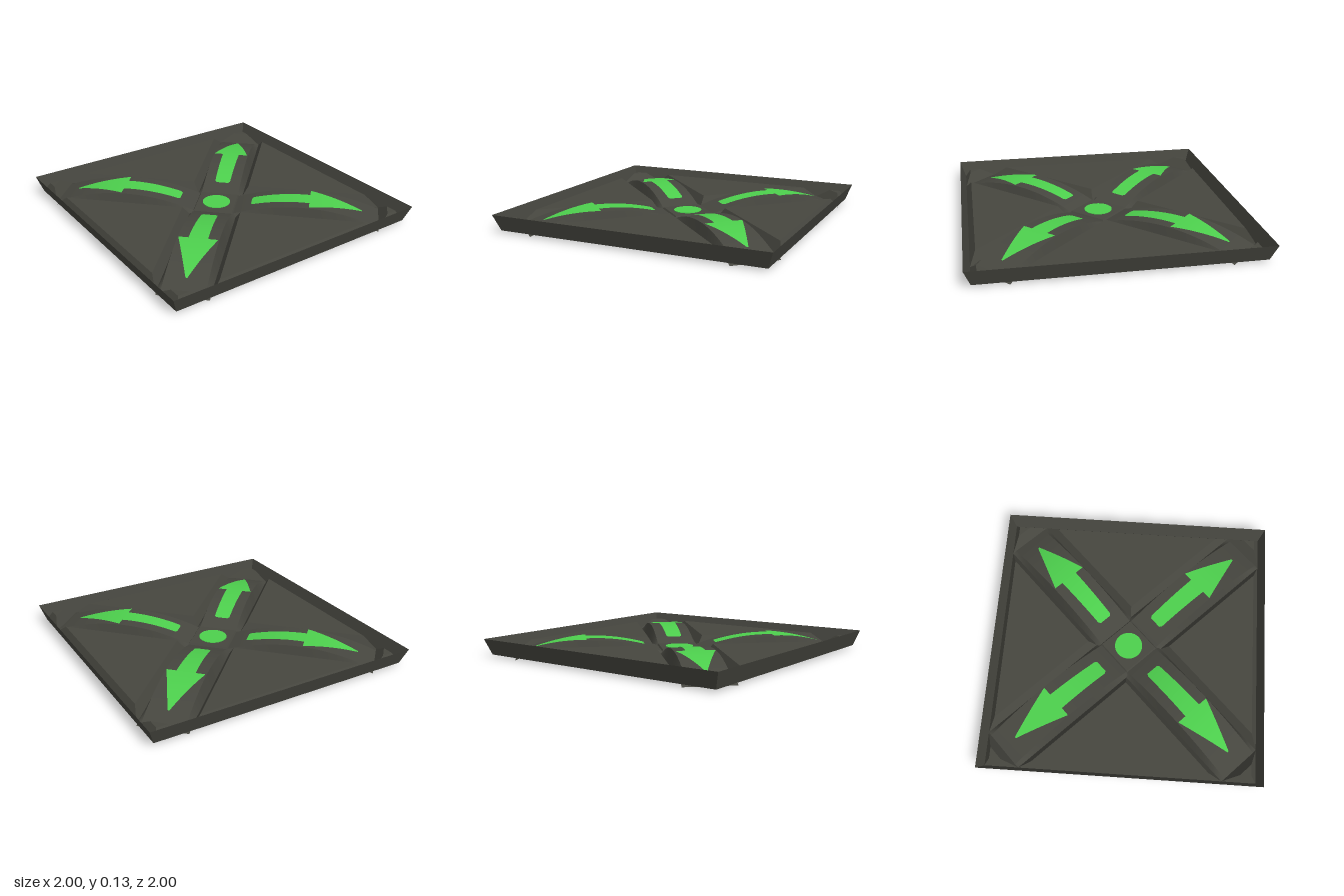
import * as THREE from 'three';

const charcoal = new THREE.MeshStandardMaterial({ color: 0x46463f, side: THREE.DoubleSide });
charcoal.name = 'charcoal';
const green = new THREE.MeshStandardMaterial({ color: 0x4dd04d, side: THREE.DoubleSide });
green.name = 'signalGreen';

function mesh(name, geometry, material) {
  const m = new THREE.Mesh(geometry, material);
  m.name = name;
  return m;
}

// Strip of quads between two polylines of [x, y, z] points
function sheet(a, b, smooth = false) {
  const index = [];
  for (let i = 0; i < a.length - 1; i++) {
    const n = a.length + i;
    index.push(i, i + 1, n, i + 1, n + 1, n);
  }
  let g = new THREE.BufferGeometry();
  g.setAttribute('position', new THREE.Float32BufferAttribute([...a, ...b].flat(), 3));
  g.setIndex(index);
  if (!smooth) g = g.toNonIndexed();
  g.computeVertexNormals();
  return g;
}

const close = (pts) => [...pts, pts[0]];
const atHeight = (pts, y) => pts.map(([x, z]) => [x, y, z]);
const square = (r) => [[r, r], [r, -r], [-r, -r], [-r, r]];

// Raised plate with sloping sides, open underneath
function raisedPlate(name, base, baseY, top, topY) {
  const group = new THREE.Group();
  group.name = name;
  const upper = atHeight(top, topY);
  const c = [0, 1, 2].map((k) => upper.reduce((s, p) => s + p[k], 0) / upper.length);
  const rim = close(upper);
  group.add(mesh(name + 'Sides', sheet(close(atHeight(base, baseY)), rim), charcoal));
  group.add(mesh(name + 'Top', sheet(rim, rim.map(() => c)), charcoal));
  return group;
}

// Height of an arched arm at distance d from the centre
const archHeight = (d) => Math.max(0.019, 0.125 - 0.105 * ((d - 0.65) / 0.54) ** 2);
const range = (a, b, n) => Array.from({ length: n + 1 }, (_, i) => a + ((b - a) * i) / n);

// Ribbon along +x with a half width and a height for each distance
function ribbon(ds, width, height) {
  const side = (s) => ds.map((d, i) => [d, height(d, i), s * width(d, i)]);
  return sheet(side(1), side(-1), true).scale(1, 1, 1);
}

function createArm() {
  const arm = new THREE.Group();
  arm.name = 'arm';

  // Trough floor, dipping at both ends
  const floor = [[0.17, 0], [0.2, 0.018], [1.15, 0.018], [1.19, 0]];
  const line = (s) => floor.map(([d, y]) => [d, y, s * 0.17]);
  arm.add(mesh('armFloor', sheet(line(1), line(-1)), charcoal));

  // Arched bridge with sloping sides
  const ds = range(0.14, 1.19, 24);
  arm.add(mesh('armArch', ribbon(ds, () => 0.14, archHeight), charcoal));
  for (const s of [1, -1]) {
    const foot = ds.map((d) => [d, 0.018, s * 0.17]);
    const edge = ds.map((d) => [d, archHeight(d), s * 0.14]);
    arm.add(mesh('armArchSide', s > 0 ? sheet(foot, edge, true) : sheet(edge, foot, true), charcoal));
  }

  // Arrow following the arch: shaft with softened tail, then barbed head
  const shaft = [0.265, 0.28, ...range(0.32, 0.69, 8)];
  const head = range(0.69, 1.07, 12);
  const lift = (d) => archHeight(d) + 0.005;
  arm.add(mesh('arrowShaft', ribbon(shaft, (d) => (d < 0.27 ? 0.045 : 0.058 + 0.02 * (d - 0.28)), lift), green));
  arm.add(mesh('arrowHead', ribbon(head, (d) => 0.006 + (0.129 * (1.07 - d)) / 0.38, lift), green));
  return arm;
}

export function createModel() {
  const model = new THREE.Group();
  model.name = 'arrowFloorTile';

  // Flared outer rim
  const rimBase = close(atHeight(square(0.96), 0.018));
  const rimTop = close(atHeight(square(1), 0.132));
  model.add(mesh('rim', sheet(rimBase, rimTop), charcoal));

  for (let k = 0; k < 4; k++) {
    const quarter = new THREE.Group();
    quarter.name = 'quarter';
    quarter.rotation.y = (k * Math.PI) / 2;

    // Triangular side panel and small corner panel
    quarter.add(raisedPlate('sidePanel',
      [[0, 0.24], [0.72, 0.96], [-0.72, 0.96]], 0.018,
      [[0, 0.3], [0.62, 0.92], [-0.62, 0.92]], 0.09));
    quarter.add(raisedPlate('cornerPanel',
      [[0.72, 0.96], [0.96, 0.72], [0.96, 0.96]], 0.018,
      [[0.84, 0.92], [0.92, 0.84], [0.92, 0.92]], 0.09));

    const arm = createArm();
    arm.rotation.y = Math.PI / 4;
    quarter.add(arm);
    model.add(quarter);
  }

  // Raised hub with a round marker that shows on both faces
  const hub = raisedPlate('hub', square(0.17), 0, square(0.14), 0.045);
  hub.rotation.y = Math.PI / 4;
  model.add(hub);
  const marker = mesh('hubMarker', new THREE.CylinderGeometry(0.102, 0.102, 0.009, 32), green);
  marker.position.y = 0.045;
  model.add(marker);

  return model;
}
